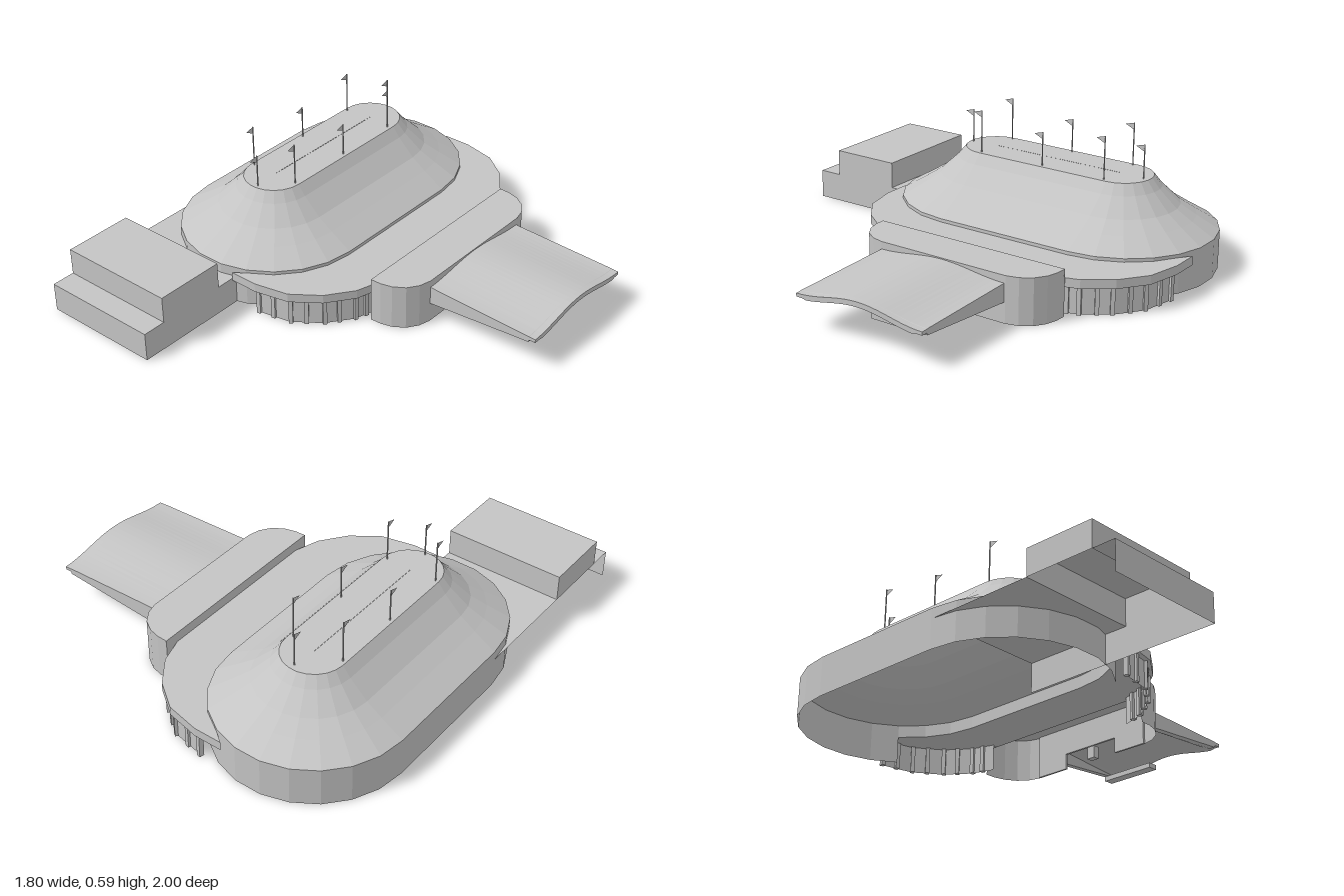
import * as THREE from 'three';

const grey = new THREE.MeshStandardMaterial({ color: 0xc4c4c4, side: THREE.DoubleSide });
grey.name = 'concreteGrey';

function add(parent, name, geometry) {
  const mesh = new THREE.Mesh(geometry, grey);
  mesh.name = name;
  parent.add(mesh);
  return mesh;
}

// Faceted skin over a list of rings, each a list of [x, y, z]
function loft(rings, closed) {
  const pos = [];
  for (let i = 0; i < rings.length - 1; i++) {
    const n = rings[i].length;
    for (let j = 0; j < (closed ? n : n - 1); j++) {
      const k = (j + 1) % n;
      const a = rings[i][j], b = rings[i][k], c = rings[i + 1][k], d = rings[i + 1][j];
      pos.push(...a, ...b, ...c, ...a, ...c, ...d);
    }
  }
  const g = new THREE.BufferGeometry();
  g.setAttribute('position', new THREE.Float32BufferAttribute(pos, 3));
  g.computeVertexNormals();
  return g;
}

const atHeight = (pts, y) => pts.map(([x, z]) => [x, y, z]);
const wall = (pts, y0, y1, closed = false) => loft([atHeight(pts, y0), atHeight(pts, y1)], closed);

// Slab from a plan outline of [x, z] points
function slab(pts, y0, y1) {
  const shape = new THREE.Shape(pts.map(([x, z]) => new THREE.Vector2(x, -z)));
  const g = new THREE.ExtrudeGeometry(shape, { depth: y1 - y0, bevelEnabled: false });
  return g.rotateX(-Math.PI / 2).translate(0, y0, 0);
}

function box(x0, x1, y0, y1, z0, z1) {
  return new THREE.BoxGeometry(x1 - x0, y1 - y0, z1 - z0)
    .translate((x0 + x1) / 2, (y0 + y1) / 2, (z0 + z1) / 2);
}

// Plan is symmetric about this z
const MID = -0.255, CX = -0.478, R = 0.423;
const mirror = (pts) => [...pts, ...pts.map(([x, z]) => [x, 2 * MID - z]).reverse()];

// Rounded-end outline, 11 facets at each end
function stadium(r) {
  const pts = [];
  for (let end = 0; end < 2; end++) {
    for (let i = 0; i <= 11; i++) {
      const a = Math.PI * (end + i / 11);
      pts.push([CX + r * Math.cos(a), MID + (end ? 0.325 : -0.325) - r * Math.sin(a)]);
    }
  }
  return pts;
}

function buildHall(group) {
  // Concave roof with a flat top
  const profile = [[R, 0.16], [R, 0.175], [0.323, 0.235], [0.253, 0.28], [0.173, 0.355], [0.137, 0.4], [0.0005, 0.4]];
  add(group, 'hallRoof', loft(profile.map(([r, y]) => atHeight(stadium(r), y)), true));
  add(group, 'hallEaveBand', wall(stadium(R), 0.12, 0.16, true));
  add(group, 'hallWall', wall(stadium(R).filter(([x]) => x < -0.2), 0, 0.12));
}

function buildFlags(group) {
  const spots = [[-0.467, 0.19, 0.55], [-0.467, -0.69, 0.55]];
  for (const x of [-0.6, -0.36]) spots.push([x, 0.07, 0.59], [x, -0.25, 0.55], [x, -0.56, 0.59]);
  for (const [x, z, top] of spots) {
    const flag = new THREE.Group();
    flag.name = 'flagpole';
    add(flag, 'pole', new THREE.CylinderGeometry(0.003, 0.003, top - 0.4, 6).translate(0, (top - 0.4) / 2, 0));
    const tri = new THREE.Shape([new THREE.Vector2(0, 0), new THREE.Vector2(-0.042, -0.012), new THREE.Vector2(0, -0.032)]);
    add(flag, 'pennant', new THREE.ShapeGeometry(tri).rotateY(Math.PI / 2).translate(0, top - 0.4, 0));
    flag.position.set(x, 0.4, z);
    group.add(flag);
  }
}

function buildConcourse(group) {
  // Low roof wrapping the hall
  const outer = mirror([[-0.35, -1], [-0.22, -1], [-0.065, -0.967], [0.055, -0.88], [0.14, -0.765], [0.175, -0.65]]);
  const arc = stadium(R).filter(([x]) => x > -0.35);
  const inner = [...arc.filter((p) => p[1] > MID), ...arc.filter((p) => p[1] < MID)];
  add(group, 'concourseRoof', slab([...outer, ...inner], 0.12, 0.16));

  // Recessed facade with piers on both rounded ends
  const facade = [[-0.225, -0.975], [-0.075, -0.945], [0.04, -0.862], [0.12, -0.755], [0.152, -0.65]];
  for (const side of [-1, 1]) {
    const pts = facade.map(([x, z]) => [x, side < 0 ? z : 2 * MID - z]);
    add(group, 'concourseWall', wall(pts, 0, 0.12));
    for (let i = 0; i < pts.length - 1; i++) {
      const [[ax, az], [bx, bz]] = [pts[i], pts[i + 1]];
      for (const t of [0.03, 0.5]) {
        const pier = add(group, 'concoursePier', new THREE.BoxGeometry(0.018, 0.12, 0.022));
        pier.position.set(ax + (bx - ax) * t, 0.06, az + (bz - az) * t);
        pier.rotation.y = -Math.atan2(bz - az, bx - ax);
      }
    }
  }
}

function buildEntrance(group) {
  // Hollow block with rounded front corners
  const half = [[0.175, -0.715], [0.225, -0.713], [0.275, -0.7], [0.325, -0.668], [0.358, -0.62], [0.372, -0.565]];
  const outline = mirror(half);
  add(group, 'entranceRoof', slab(outline, 0.195, 0.205));
  add(group, 'entranceBackWall', box(0.175, 0.18, 0.12, 0.2, -0.715, 0.205));
  for (const side of [-1, 1]) {
    const z = (v) => (side < 0 ? v : 2 * MID - v);
    add(group, 'entranceEndWall', wall(half.map(([x, v]) => [x, z(v)]), 0, 0.2));
    const [z0, z1] = [z(-0.565), z(-0.4)].sort((a, b) => a - b);
    add(group, 'entrancePier', box(0.362, 0.372, 0, 0.07, z0, z1));
  }
  add(group, 'entranceHeader', box(0.362, 0.372, 0.07, 0.2, -0.565, 0.055));
  add(group, 'doorPost', box(0.34, 0.37, 0, 0.055, -0.25, -0.21));
  add(group, 'curb', box(0.6, 0.645, 0, 0.022, -0.375, -0.11));
}

function buildCanopy(group) {
  // Wave-shaped shell with tapering edge beams
  const N = 24;
  const section = (x, edge, crown, beam) => {
    const top = [], bottom = [];
    for (let j = 0; j <= N; j++) {
      const s = j / N, z = 0.055 - 0.615 * s;
      const y = edge + (crown - edge) * (0.5 - 0.5 * Math.cos(2 * Math.PI * s));
      top.push([x, y, z]);
      bottom.push([x, j < 2 || j > N - 2 ? beam : y - 0.022, z]);
    }
    return { top, bottom, loop: [...top, ...bottom.reverse()] };
  };
  const root = section(0.37, 0.172, 0.2, 0.09);
  const nearTip = section(0.868, 0.157, 0.196, 0.13);
  const lip = section(0.87, 0.156, 0.196, 0.14);
  const tip = section(0.9, 0.155, 0.195, 0.14);
  add(group, 'canopyShell', loft([tip.loop, lip.loop, nearTip.loop, root.loop], true));
  add(group, 'canopyTip', loft([tip.bottom.reverse(), tip.top], false));
}

function buildWing(group) {
  // Stepped service wing, open underneath and along its low outer side
  const steps = [[0.07, 0.13], [0.573, 0.13], [0.573, 0.25], [0.893, 0.25], [0.893, 0.13], [1, 0.13], [1, 0]];
  const ring = (x) => steps.map(([z, y]) => [x, y, z]);
  add(group, 'wingSteps', loft([ring(-0.35), ring(-0.9)], false));
  const side = (pts, x) => new THREE.ShapeGeometry(new THREE.Shape(pts.map(([z, y]) => new THREE.Vector2(-z, y))))
    .rotateY(Math.PI / 2).translate(x, 0, 0);
  add(group, 'wingInnerWall', side([...steps, [0.07, 0]], -0.35));
  add(group, 'wingOuterWall', side(steps.slice(1, 5), -0.9).scale(1, 1, 1));
}

export function createModel() {
  const model = new THREE.Group();
  model.name = 'arena';
  const parts = { hall: buildHall, flags: buildFlags, concourse: buildConcourse, entrance: buildEntrance, canopy: buildCanopy, wing: buildWing };
  for (const [name, build] of Object.entries(parts)) {
    const group = new THREE.Group();
    group.name = name;
    build(group);
    model.add(group);
  }
  return model;
}
